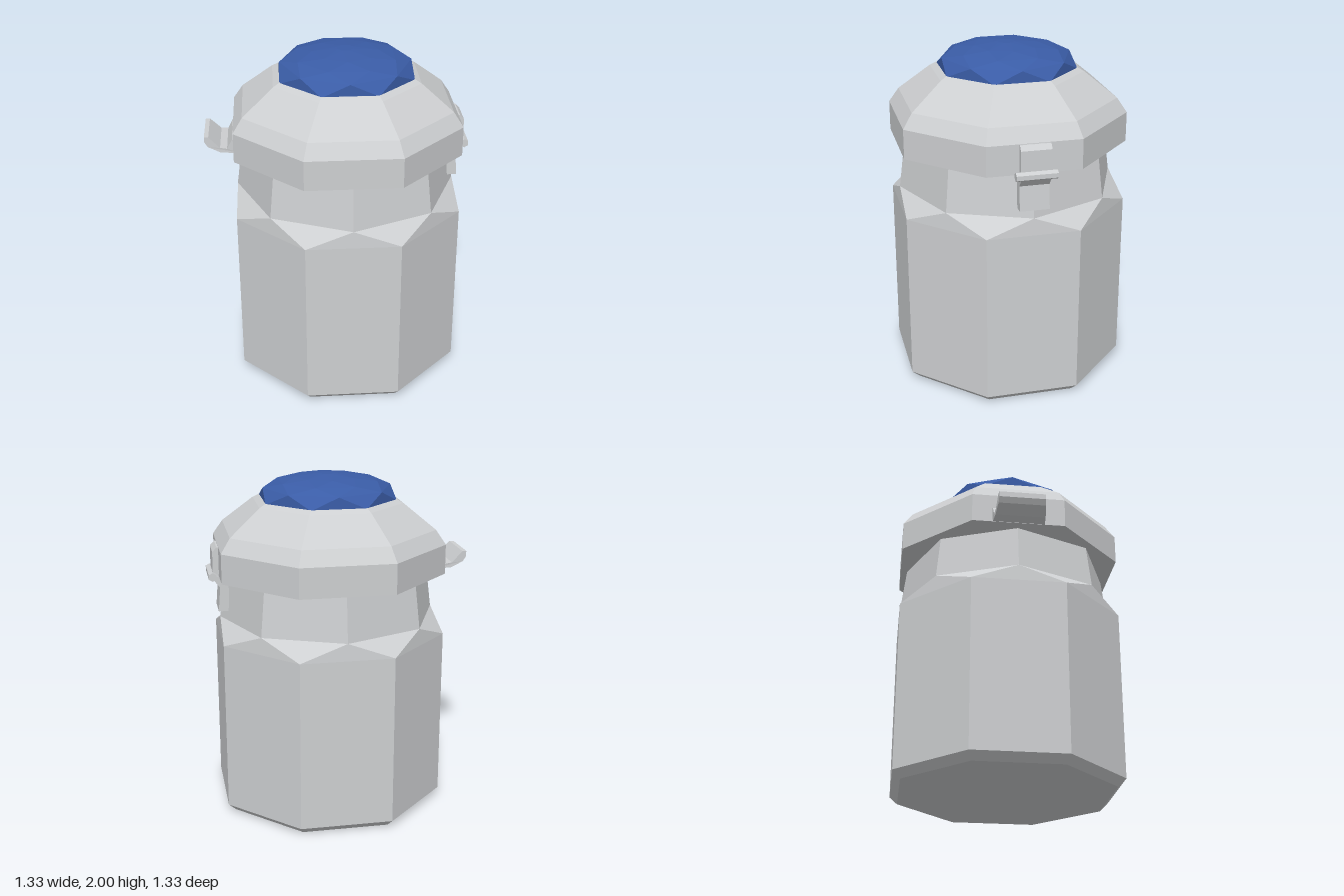
import * as THREE from 'three';

const SIDES = 8;
const HALF = Math.PI / SIDES;

// Faceted solid from stacked octagons [radius, y, angle]; both ends are closed.
function loft(rings) {
  const pos = [];
  const point = ([r, y, a], i) => {
    const t = a + i * 2 * HALF;
    return [r * Math.sin(t), y, r * Math.cos(t)];
  };
  const tri = (...corners) => corners.forEach((c) => pos.push(...c));
  const first = rings[0], last = rings[rings.length - 1];
  for (let i = 0; i < SIDES; i++) {
    for (let k = 0; k < rings.length - 1; k++) {
      const a = rings[k], b = rings[k + 1];
      tri(point(a, i), point(a, i + 1), point(b, i));
      tri(point(a, i + 1), point(b, i + 1), point(b, i));
    }
    tri([0, first[1], 0], point(first, i + 1), point(first, i));
    tri([0, last[1], 0], point(last, i), point(last, i + 1));
  }
  const geo = new THREE.BufferGeometry();
  geo.setAttribute('position', new THREE.Float32BufferAttribute(pos, 3));
  geo.computeVertexNormals();
  return geo;
}

// Side profile (outward distance, height) extruded to a centred width.
function bracket(profile, width) {
  const shape = new THREE.Shape(profile.map(([d, y]) => new THREE.Vector2(d, y)));
  const geo = new THREE.ExtrudeGeometry(shape, { depth: width, bevelEnabled: false });
  return geo.translate(0, 0, -width / 2);
}

export function createModel() {
  const model = new THREE.Group();
  model.name = 'canister';
  const grey = new THREE.MeshStandardMaterial({ color: 0xcdcfd1 });
  grey.name = 'light grey metal';
  const blue = new THREE.MeshStandardMaterial({ color: 0x3a5ca6 });
  blue.name = 'blue glass';

  const add = (parent, name, geo, mat) => {
    const mesh = new THREE.Mesh(geo, mat);
    mesh.name = name;
    parent.add(mesh);
    return mesh;
  };
  // Octagon with flat sides facing the axes, given by its apothem
  const flat = (apothem, y) => [apothem / Math.cos(HALF), y, HALF];

  // Body with bevelled foot; the shoulder twists half a side into the neck
  add(model, 'body', loft([
    flat(0.61, 0), flat(0.655, 0.045), flat(0.655, 1.06),
    [0.648, 1.16, 2 * HALF], [0.615, 1.42, 2 * HALF],
  ]), grey);

  // Domed lid floating just above the neck
  add(model, 'lid', loft([
    flat(0.655, 1.43), flat(0.655, 1.605), flat(0.6, 1.69),
    flat(0.42, 1.84), flat(0.385, 1.86),
  ]), grey);

  // Cut-gem dome: every ring is turned half a side
  add(model, 'dome', loft([
    [0.415, 1.855, HALF], [0.38, 1.925, 2 * HALF], [0.3, 1.962, 3 * HALF],
    [0.19, 1.985, 4 * HALF], [0.05, 2.0, 5 * HALF],
  ]), blue);

  // Opening tab on the front right corner, narrowing outwards
  const tabGeo = bracket([
    [0.62, 1.432], [0.73, 1.432], [0.805, 1.465], [0.825, 1.495], [0.825, 1.527],
    [0.8, 1.527], [0.735, 1.462], [0.695, 1.457], [0.665, 1.515], [0.62, 1.52],
  ], 0.31);
  const p = tabGeo.attributes.position;
  for (let i = 0; i < p.count; i++) {
    p.setZ(i, p.getZ(i) * (1 - 0.75 * Math.max(0, p.getX(i) - 0.64)));
  }
  tabGeo.computeVertexNormals();
  add(model, 'openingTab', tabGeo, grey).rotation.y = -0.75 * Math.PI;

  // Hinge on the opposite corner: lid plate, pin and neck plate
  const hinge = new THREE.Group();
  hinge.name = 'hinge';
  hinge.rotation.y = Math.PI / 4;
  model.add(hinge);
  add(hinge, 'lidPlate', bracket([
    [0.63, 1.44], [0.69, 1.44], [0.69, 1.575], [0.665, 1.602], [0.63, 1.602],
  ], 0.175), grey);
  add(hinge, 'neckPlate', bracket([
    [0.6, 1.215], [0.662, 1.215], [0.65, 1.36], [0.69, 1.41], [0.69, 1.44],
    [0.66, 1.425], [0.6, 1.38],
  ], 0.17), grey);
  const pin = new THREE.CylinderGeometry(0.026, 0.026, 0.235, 6).toNonIndexed();
  pin.computeVertexNormals();
  pin.rotateX(Math.PI / 2).translate(0.694, 1.432, 0);
  add(hinge, 'pin', pin, grey);

  model.children.forEach((part) => part.position.set(0.007, 0, -0.01));
  return model;
}
